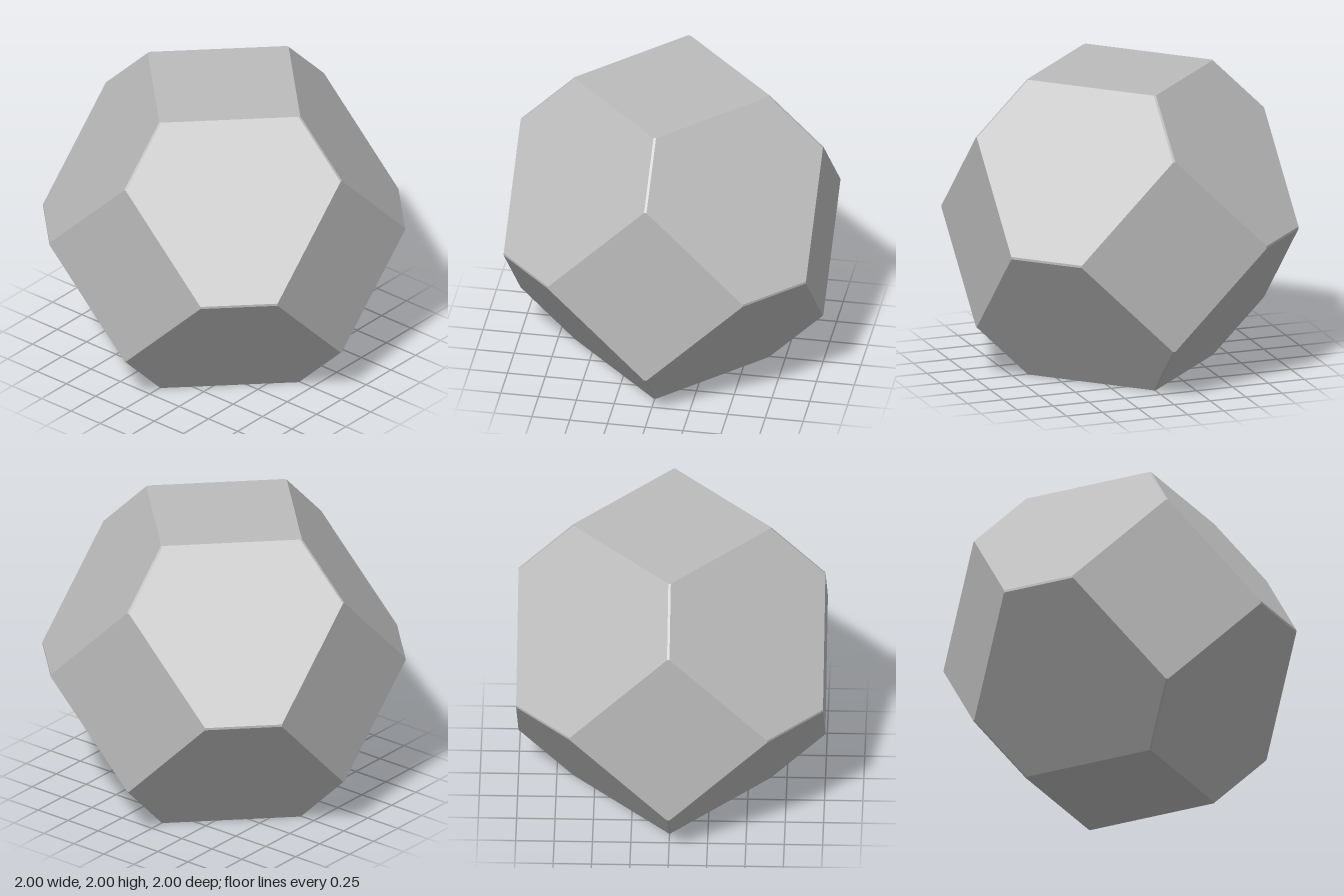
import * as THREE from 'three';

// Truncation: vertices are all signed permutations of (E, A, 1)
const E = 0.008, A = 0.643;

function cornerPoints() {
  const points = [];
  const orders = [[0, 1, 2], [0, 2, 1], [1, 0, 2], [1, 2, 0], [2, 0, 1], [2, 1, 0]];
  const size = [E, A, 1];
  for (const o of orders)
    for (const sx of [-1, 1]) for (const sy of [-1, 1]) for (const sz of [-1, 1])
      points.push(new THREE.Vector3(sx * size[o[0]], sy * size[o[1]], sz * size[o[2]]));
  return points;
}

// Flat facets: for each direction, the outermost vertices sorted around the normal
function facets(points, directions) {
  const pos = [];
  for (const d of directions) {
    const n = d.clone().normalize();
    const far = Math.max(...points.map((p) => p.dot(n)));
    const ring = points.filter((p) => p.dot(n) > far - 1e-5);
    const centre = ring.reduce((s, p) => s.add(p), new THREE.Vector3()).divideScalar(ring.length);
    const u = ring[0].clone().sub(centre).normalize();
    const v = n.clone().cross(u);
    const angle = (p) => {
      const r = p.clone().sub(centre);
      return Math.atan2(r.dot(v), r.dot(u));
    };
    ring.sort((a, b) => angle(a) - angle(b));
    for (let i = 1; i < ring.length - 1; i++)
      for (const p of [ring[0], ring[i], ring[i + 1]]) pos.push(p.x, p.y, p.z);
  }
  const g = new THREE.BufferGeometry();
  g.setAttribute('position', new THREE.Float32BufferAttribute(pos, 3));
  g.computeVertexNormals();
  return g;
}

export function createModel() {
  const group = new THREE.Group();
  group.name = 'truncatedOctahedron';
  const grey = new THREE.MeshStandardMaterial({ color: 0xbcbcbc });
  grey.name = 'light grey';

  // Sort the 26 directions by how many axes they use
  const kinds = { 1: [], 2: [], 3: [] };
  for (const x of [-1, 0, 1]) for (const y of [-1, 0, 1]) for (const z of [-1, 0, 1]) {
    const axes = Math.abs(x) + Math.abs(y) + Math.abs(z);
    if (axes) kinds[axes].push(new THREE.Vector3(x, y, z));
  }

  const points = cornerPoints();
  const names = { 1: 'squareFaces', 2: 'edgeBevels', 3: 'hexagonFaces' };
  for (const k of [1, 2, 3]) {
    const mesh = new THREE.Mesh(facets(points, kinds[k]), grey);
    mesh.name = names[k];
    mesh.position.y = 1;
    group.add(mesh);
  }
  return group;
}
